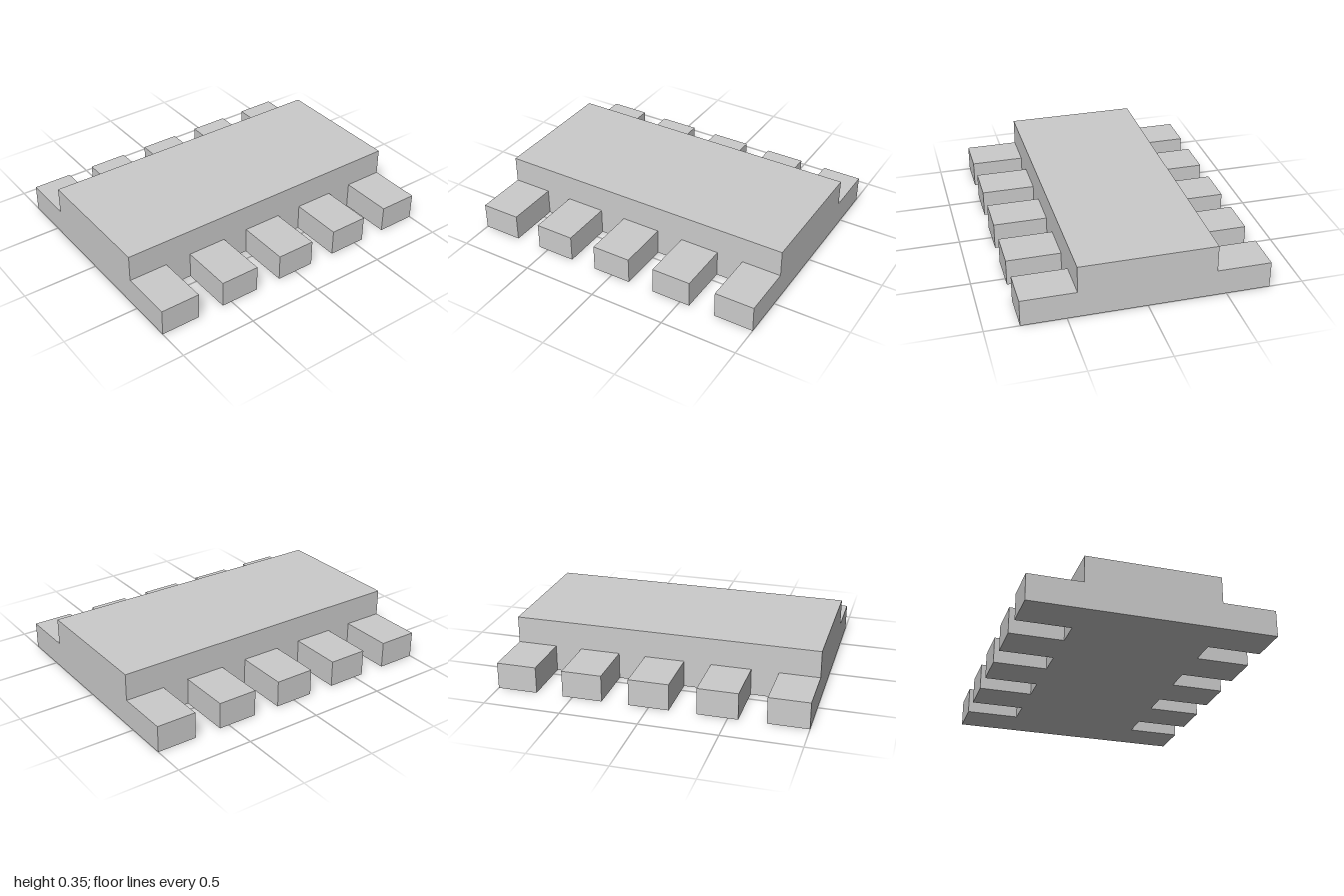
import * as THREE from 'three';

export function createModel() {
  const group = new THREE.Group();
  const material = new THREE.MeshStandardMaterial({ color: 0xcccccc, flatShading: true });

  const bodyHalf = 0.435, bodyHeight = 0.35;
  const toothLength = 0.348, toothHeight = 0.174, toothDepth = 0.26;
  const pitch = (2 - toothDepth) / 4;

  // Box standing on the ground
  function addBlock(name, width, height, depth, x, z) {
    const mesh = new THREE.Mesh(new THREE.BoxGeometry(width, height, depth), material);
    mesh.name = name;
    mesh.position.set(x, height / 2, z);
    group.add(mesh);
  }

  // Long central body
  addBlock('body', 2 * bodyHalf, bodyHeight, 2, 0, 0);

  // Five low teeth along each side, flush with both ends
  for (const [side, label] of [[1, 'left'], [-1, 'right']]) {
    for (let i = 0; i < 5; i++) {
      addBlock(`${label}Tooth${i + 1}`, toothLength, toothHeight, toothDepth,
        side * (bodyHalf + toothLength / 2), (i - 2) * pitch);
    }
  }
  return group;
}
